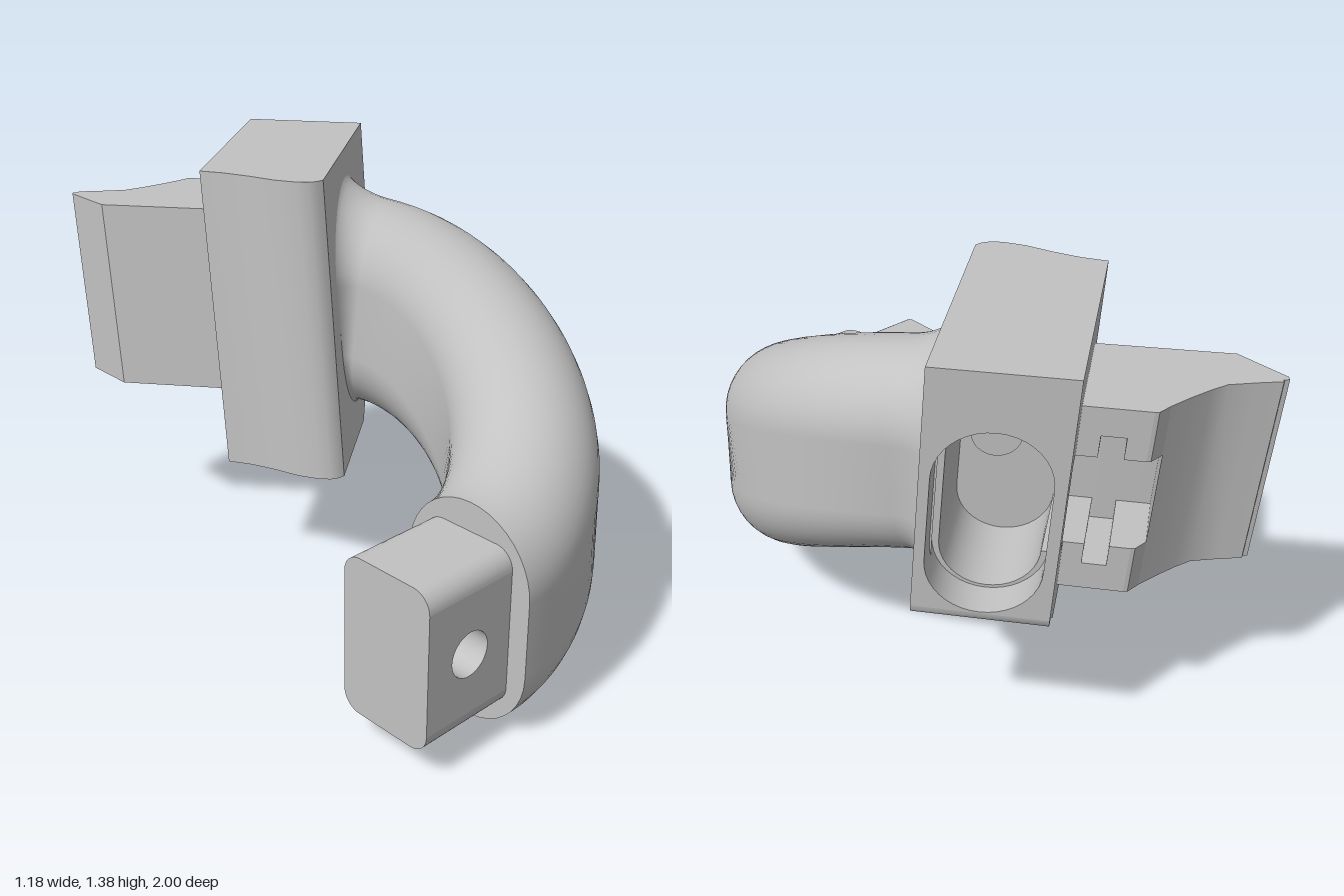
import * as THREE from 'three';
import { toCreasedNormals } from 'three/addons/utils/BufferGeometryUtils.js';

const grey = new THREE.MeshStandardMaterial({ color: 0xc2c2c2 });
grey.name = 'grey plastic';

const shapeOf = (pts) => new THREE.Shape(pts.map(([a, b]) => new THREE.Vector2(a, b)));

// Extrude an outline (with optional holes) by a depth
function extrude(pts, depth, holes = []) {
  const shape = shapeOf(pts);
  holes.forEach((h) => shape.holes.push(shapeOf(h)));
  return new THREE.ExtrudeGeometry(shape, { depth, bevelEnabled: false, steps: 1 });
}
const flip = (pts) => pts.map(([z, y]) => [-z, y]);
// (z, y) outline pulled along x
const alongX = (pts, x0, x1, holes = []) =>
  extrude(flip(pts), x1 - x0, holes.map(flip)).rotateY(Math.PI / 2).translate(x0, 0, 0);
// (x, z) plan pulled along y
const alongY = (pts, y0, y1) => extrude(pts, y1 - y0).rotateX(Math.PI / 2).translate(0, y1, 0);
// (x, y) elevation pulled along z
const alongZ = (pts, z0, z1, holes = []) => extrude(pts, z1 - z0, holes).translate(0, 0, z0);

const rect = (a0, b0, a1, b1) => [[a0, b0], [a1, b0], [a1, b1], [a0, b1]];

// Upright stadium, starting at the upper left and going over the top
function stadium(ca, cb, radius, straight, n = 20) {
  const pts = [];
  for (const [from, side] of [[Math.PI, 1], [0, -1]]) {
    for (let k = 0; k <= n; k++) {
      const a = from - (Math.PI * k) / n;
      pts.push([ca + radius * Math.cos(a), cb + side * straight + radius * Math.sin(a)]);
    }
  }
  return pts;
}
const circle = (ca, cb, r, n = 32) =>
  Array.from({ length: n }, (_, k) => {
    const a = (k / n) * Math.PI * 2;
    return [ca + r * Math.cos(a), cb + r * Math.sin(a)];
  });

// Turn the mount towards the arm end and lean its top backwards
const LEAN = 0.095;
function place(geo) {
  geo.rotateY(0.657);
  const lean = new THREE.Matrix4().set(1, 0, 0, 0, 0, 1, 0, 0, 0, -LEAN, 1, LEAN * 1.38, 0, 0, 0, 1);
  return geo.applyMatrix4(lean);
}

// Curved arm: a stadium swept square to a rising arc, flaring at the mount
function armGeometry() {
  const cx = -0.27, cz = 0.14, R = 0.635, end = 2.229, flare = 0.1, rise = 0.545;
  const angles = [];
  for (let i = 0; i <= 48; i++) angles.push((i / 48) * (end - flare / R));
  for (let i = 1; i <= 10; i++) angles.push(end - (flare / R) * (1 - i / 10));
  angles.push(end + 0.02);
  const pos = [], idx = [];
  let n = 0;
  angles.forEach((phi) => {
    const u = Math.min(phi / end, 1);
    const ease = u * u * (3 - 2 * u);
    const yc = 0.345 + rise * ease;
    const slope = Math.atan((rise * 6 * u * (1 - u)) / (R * end));
    const d = Math.max(0, Math.min(flare, (end - phi) * R));
    const grow = flare - Math.sqrt(flare * flare - (flare - d) ** 2);
    const ring = stadium(0, 0, 0.225 + grow, 0.12);
    n = ring.length;
    ring.forEach(([a, b]) => {
      const r = R + a, back = b * Math.sin(slope);
      pos.push(
        cx + r * Math.sin(phi) - back * Math.cos(phi),
        yc + b * Math.cos(slope),
        cz + r * Math.cos(phi) + back * Math.sin(phi) - LEAN * b * ease);
    });
  });
  for (let i = 0; i < angles.length - 1; i++) {
    for (let j = 0; j < n; j++) {
      const a = i * n + j, b = i * n + ((j + 1) % n);
      idx.push(a, b, a + n, b, b + n, a + n);
    }
  }
  const geo = new THREE.BufferGeometry();
  geo.setAttribute('position', new THREE.Float32BufferAttribute(pos, 3));
  geo.setIndex(idx);
  geo.computeVertexNormals();
  return geo;
}

// Foot below the slot: the chamfer runs slightly askew from front to back
function footGeometry(back, front, base) {
  const geo = alongZ([
    [0.28, 0.41], [0.43, 0.41], [0.595, 0.55], [0.735, 0.55], [0.755, 0.557],
    [0.763, 0.57], [0.765, base], [0.28, base]], back, front);
  const p = geo.attributes.position;
  for (let i = 0; i < p.count; i++) {
    const x = p.getX(i);
    if (x > 0.4 && x < 0.7) p.setX(i, x + 0.28 * (front - p.getZ(i)));
  }
  return geo;
}

export function createModel() {
  const model = new THREE.Group();
  model.name = 'curvedArmBracket';
  const group = (name) => {
    const g = new THREE.Group();
    g.name = name;
    model.add(g);
    return g;
  };
  const add = (parent, name, geo, crease = true) => {
    const mesh = new THREE.Mesh(crease ? toCreasedNormals(geo, 0.5) : geo, grey);
    mesh.name = name;
    parent.add(mesh);
  };

  // Arm
  const arm = group('arm');
  add(arm, 'armTube', armGeometry(), false);
  add(arm, 'armEndFace', alongX(stadium(0.775, 0.345, 0.2245, 0.12), -0.27, -0.26));

  // Plug with cross hole and rounded long edges
  const plug = group('plug');
  const x0 = -0.592, x1 = -0.26, z0 = 0.617, z1 = 0.935, r = 0.06;
  add(plug, 'plugCore', alongZ(rect(x0, 0.1 + r, x1, 0.6 - r), z0, z1, [circle(-0.43, 0.35, 0.07)]));
  for (const [name, yIn, dir] of [['plugTop', 0.6 - r, 1], ['plugBottom', 0.1 + r, -1]]) {
    const pts = [];
    for (let k = 0; k <= 8; k++) {
      const a = (k / 8) * Math.PI / 2;
      pts.push([z1 - r + r * Math.cos(a), yIn + dir * r * Math.sin(a)]);
    }
    for (let k = 8; k >= 0; k--) {
      const a = (k / 8) * Math.PI / 2;
      pts.push([z0 + r - r * Math.cos(a), yIn + dir * r * Math.sin(a)]);
    }
    add(plug, name, alongX(pts, x0, x1));
  }

  // Mount block: flared solid end, chamfered foot, hollow layers with the slot
  const mount = group('mountBlock');
  const back = -0.47, front = -0.074, base = 0.585, top = 1.38, floor = 0.36;
  const chLow = 0.745, chHigh = 1.045;
  add(mount, 'mountSolidEnd', place(alongY([
    [0.045, back], [0.28, back], [0.28, front], [0, front], [-0.018, -0.09], [-0.03, -0.113],
    [-0.034, -0.15], [-0.022, -0.22], [0.01, -0.307], [0.034, -0.39]], 0.41, top)));
  add(mount, 'mountFoot', place(footGeometry(back, front, base)));
  const outer = rect(back, base, front, top);
  add(mount, 'slotFloor', place(alongX(outer, 0.28, floor, [circle(-0.23, 0.94, 0.075)])));
  add(mount, 'slotChannel', place(alongX([
    [back, base], [front, base], [front, top], [back, top], [back, chHigh],
    ...stadium(-0.27, 0.895, 0.145, 0.15), [back, chLow]], floor, 0.65)));
  add(mount, 'slotRim', place(alongX(outer, 0.65, 0.765, [stadium(-0.27, 0.895, 0.165, 0.14)])));

  // Clip behind the block; the channel from the slot runs on through its side
  const clip = group('clip');
  const c0 = 0.585, c1 = 1.205, end = -0.7;
  add(clip, 'clipJaw', place(alongY([
    [0.235, -0.46], [floor, -0.46], [floor, -0.99], [0.353, -1.009],
    [0.338, -1.006], [0.228, -0.867]], c0, c1)));
  add(clip, 'clipTip', place(alongY([
    [floor, end], [0.555, end], [0.5, -0.75], [0.45, -0.8], [0.412, -0.844],
    [0.388, -0.92], [0.368, -0.993], [floor, -0.995]], c0, c1)));
  // Upper and lower cheeks, each with a square notch
  const cheek = [[-0.46, c0], [-0.46, chLow], [-0.53, chLow], [-0.53, 0.675],
    [-0.6, 0.675], [-0.6, chLow], [-0.66, chLow], [-0.66, c0]];
  const corner = [[floor, -0.66], [0.595, -0.66], [0.592, -0.672], [0.555, end], [floor, end]];
  add(clip, 'lowerCheek', place(alongX(cheek, floor, 0.595)));
  add(clip, 'upperCheek', place(alongX(cheek.map(([z, y]) => [z, c0 + c1 - y]), floor, 0.595)));
  add(clip, 'lowerCorner', place(alongY(corner, c0, chLow)));
  add(clip, 'upperCorner', place(alongY(corner, chHigh, c1)));

  return model;
}
